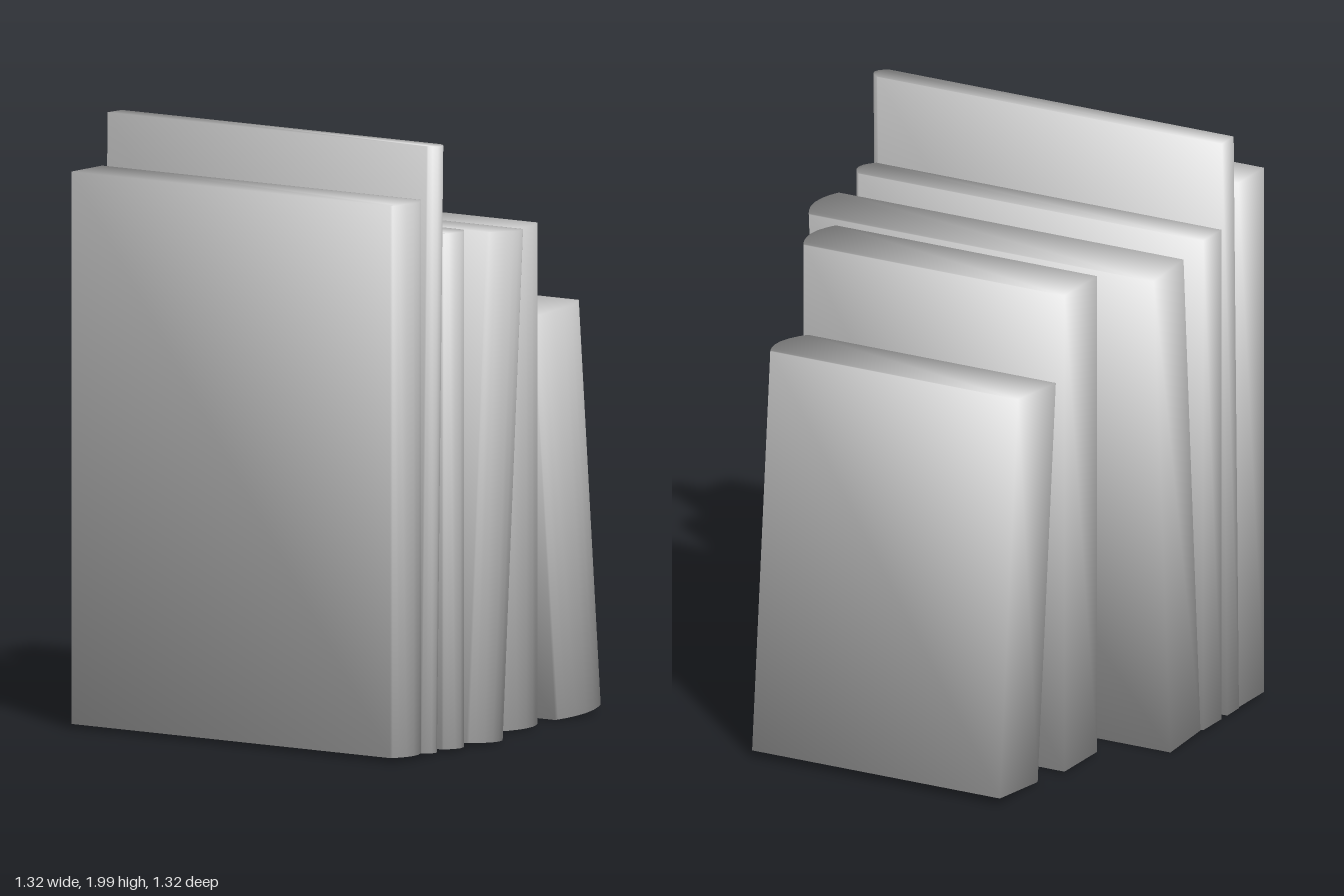
import * as THREE from 'three';

// Blend the normals of all faces meeting at each corner, each direction counted once
function softenNormals(geo) {
  const pos = geo.attributes.position, nor = geo.attributes.normal;
  const corners = new Map();
  const p = new THREE.Vector3(), n = new THREE.Vector3();
  const key = (v) => v.toArray().map((c) => Math.round(c * 1000) + 0).join();
  for (let i = 0; i < pos.count; i++) {
    const k = key(p.fromBufferAttribute(pos, i));
    if (!corners.has(k)) corners.set(k, new Map());
    n.fromBufferAttribute(nor, i);
    corners.get(k).set(key(n), n.clone());
  }
  for (let i = 0; i < pos.count; i++) {
    const sum = new THREE.Vector3();
    for (const v of corners.get(key(p.fromBufferAttribute(pos, i))).values()) sum.add(v);
    sum.normalize();
    nor.setXYZ(i, sum.x, sum.y, sum.z);
  }
  return geo;
}

// Upright slab centred in y and z, with a bulging spine on its +x edge
function bookGeometry(x0, x1, height, thickness) {
  const h = thickness / 2, bulge = 0.033, steps = 8;
  const shape = new THREE.Shape();
  shape.moveTo(x0, h);
  shape.lineTo(x0, -h);
  for (let i = 0; i <= steps; i++) {
    const t = -Math.cos((Math.PI * i) / steps);
    shape.lineTo(x1 - bulge * t * t, h * t);
  }
  shape.closePath();
  const geo = new THREE.ExtrudeGeometry(shape, { depth: height, bevelEnabled: false });
  geo.translate(0, 0, -height / 2);
  geo.rotateX(-Math.PI / 2);
  return softenNormals(geo);
}

export function createModel() {
  const group = new THREE.Group();
  group.name = 'bookRow';
  const material = new THREE.MeshStandardMaterial({ color: 0xcccccc });

  // Front to back: x range, height, thickness, centre y and z, lean
  const books = [
    { x0: -0.66, x1: 0.657, height: 1.81, thick: 0.168, y: 0.924, z: 0.577, lean: 0 },
    { x0: -0.66, x1: 0.657, height: 1.985, thick: 0.077, y: 1.007, z: 0.441, lean: -0.0175 },
    { x0: -0.66, x1: 0.657, height: 1.69, thick: 0.119, y: 0.859, z: 0.321, lean: 0 },
    { x0: -0.66, x1: 0.657, height: 1.665, thick: 0.198, y: 0.843, z: 0.089, lean: -0.067 },
    { x0: -0.455, x1: 0.55, height: 1.643, thick: 0.213, y: 0.831, z: -0.183, lean: 0 },
    { x0: -0.423, x1: 0.533, height: 1.345, thick: 0.25, y: 0.687, z: -0.474, lean: 0.089 },
  ];
  books.forEach((b, i) => {
    const book = new THREE.Mesh(bookGeometry(b.x0, b.x1, b.height, b.thick), material);
    book.name = `book${i + 1}`;
    book.position.set(0, b.y, b.z);
    book.rotation.x = b.lean;
    group.add(book);
  });
  return group;
}
